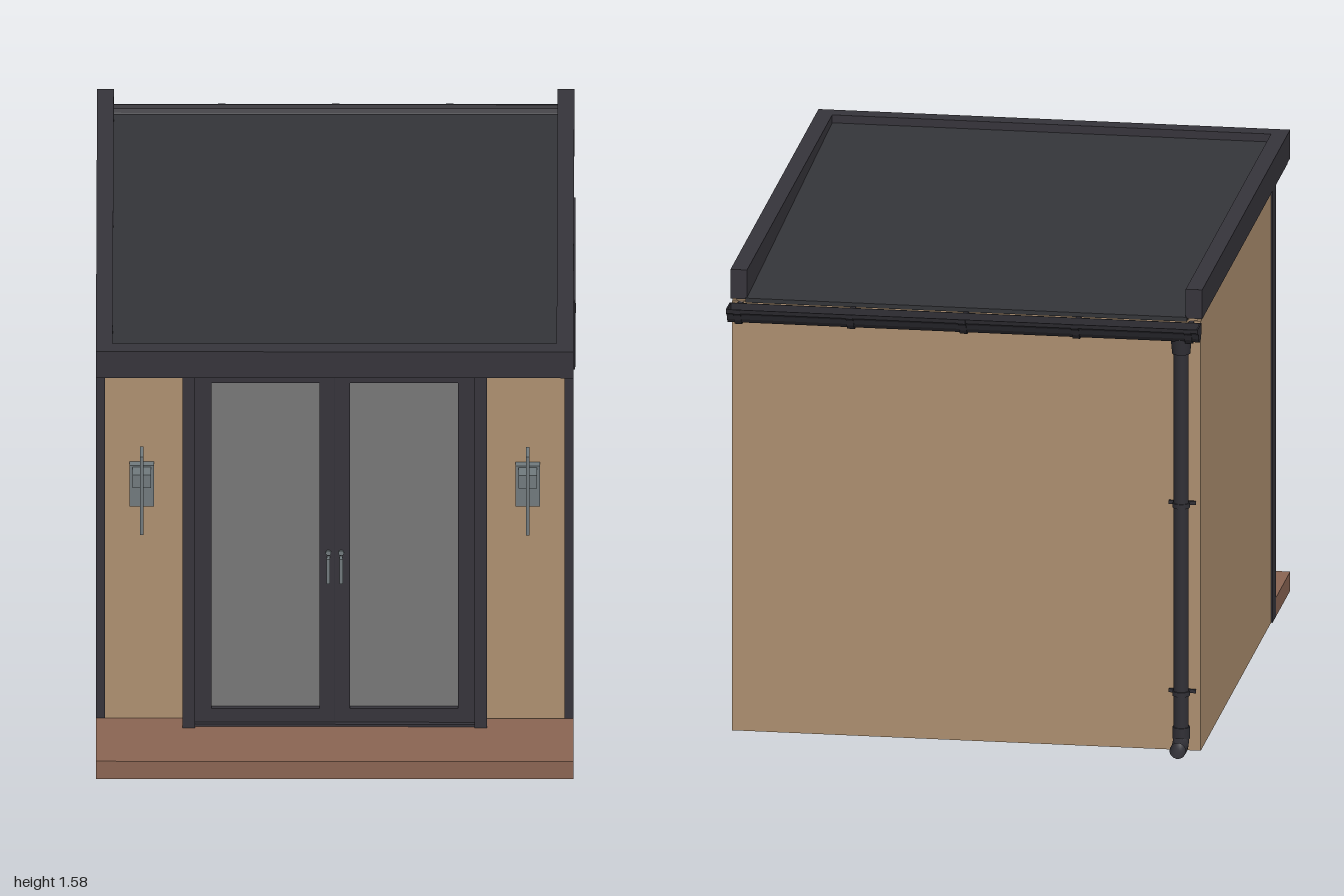
import * as THREE from 'three';

const mat = (name, color, side = THREE.FrontSide) => {
  const m = new THREE.MeshStandardMaterial({ color, side });
  m.name = name;
  return m;
};

export function createModel() {
  const cladding = mat('tan cladding', 0xae9070);
  const trim = mat('dark trim', 0x36343b);
  const roofing = mat('roof membrane', 0x343539);
  const gutterMat = mat('gutter plastic', 0x302f35, THREE.DoubleSide);
  const glass = mat('grey glass', 0x777777);
  const slabMat = mat('grey concrete', 0x7a7a7a);
  const wood = mat('brown decking', 0x8a6553);
  const metal = mat('brushed metal', 0x717a7d);

  const model = new THREE.Group();
  model.name = 'gardenRoom';
  const group = (name) => {
    const g = new THREE.Group();
    g.name = name;
    model.add(g);
    return g;
  };
  const add = (name, geo, material, parent = model) => {
    const m = new THREE.Mesh(geo, material);
    m.name = name;
    parent.add(m);
    return m;
  };
  // Box given by its minimum and maximum on each axis
  const box = (name, material, [x0, x1], [y0, y1], [z0, z1], parent) => {
    const g = new THREE.BoxGeometry(x1 - x0, y1 - y0, z1 - z0);
    g.translate((x0 + x1) / 2, (y0 + y1) / 2, (z0 + z1) / 2);
    return add(name, g, material, parent);
  };
  // Profile in (z, y) swept along x
  const prism = (name, material, pts, x0, x1, parent) => {
    const s = new THREE.Shape(pts.map(([z, y]) => new THREE.Vector2(-z, y)));
    const g = new THREE.ExtrudeGeometry(s, { depth: x1 - x0, bevelEnabled: false });
    g.rotateY(Math.PI / 2).translate(x0, 0, 0);
    return add(name, g, material, parent);
  };
  const cyl = (name, material, r0, r1, y0, y1, x, z, parent) => {
    const g = new THREE.CylinderGeometry(r1, r0, y1 - y0, 20);
    g.translate(x, (y0 + y1) / 2, z);
    return add(name, g, material, parent);
  };
  const rect = (P, x0, x1, y0, y1) => new P([[x0, y0], [x1, y0], [x1, y1], [x0, y1]]
    .map(([x, y]) => new THREE.Vector2(x, y)));
  // Flat frame with rectangular openings, facing +z
  const frameGeo = (outer, holes, z0, z1) => {
    const s = rect(THREE.Shape, ...outer);
    s.holes = holes.map((h) => rect(THREE.Path, ...h));
    return new THREE.ExtrudeGeometry(s, { depth: z1 - z0, bevelEnabled: false }).translate(0, 0, z0);
  };

  // Base, deck and thin wall shell
  box('floorSlab', slabMat, [-0.72, 0.72], [0, 0.06], [-0.82, 0.62]);
  box('deck', wood, [-0.785, 0.785], [0, 0.065], [0.69, 1]);
  const walls = group('walls');
  box('frontWall', cladding, [-0.77, 0.77], [0, 1.488], [0.67, 0.683], walls);
  box('backWall', cladding, [-0.78, 0.78], [0, 1.472], [-0.89, -0.877], walls);
  for (const s of [-1, 1]) {
    const xs = (a, b) => (s > 0 ? [a, b] : [-b, -a]);
    box('sideWall', cladding, xs(0.767, 0.78), [0, 1.48], [-0.877, 0.62], walls);
    box('cornerTrim', trim, xs(0.755, 0.785), [0, 1.48], [0.62, 0.69], walls);
  }

  // Sloping roof sunk between raised fascias, open at the back
  const roof = group('roof');
  prism('roofDeck', roofing, [[-0.895, 1.47], [0.945, 1.49], [0.945, 1.553], [-0.895, 1.485]], -0.735, 0.735, roof);
  box('soffit', slabMat, [-0.73, 0.73], [1.484, 1.49], [0.684, 0.945], roof);
  box('frontFascia', trim, [-0.785, 0.785], [1.483, 1.58], [0.94, 1], roof);
  box('leftFascia', trim, [0.73, 0.785], [1.48, 1.58], [-0.89, 0.94], roof);
  box('rightFascia', trim, [-0.785, -0.73], [1.48, 1.58], [-0.89, 0.94], roof);

  // Double doors
  const doors = group('doors');
  for (const s of [-1, 1]) {
    const xs = (a, b) => (s > 0 ? [a, b] : [-b, -a]);
    box('doorPost', trim, xs(0.46, 0.5), [0.065, 1.387], [0.683, 0.76], doors);
    box('doorGlass', glass, xs(0.03, 0.43), [0.1, 1.35], [0.71, 0.718], doors);
    // Handle: rosette, stems and a vertical grip
    const hx = s * 0.021;
    const rosette = add('handleRosette', new THREE.CylinderGeometry(0.009, 0.009, 0.008, 16), metal, doors);
    rosette.rotation.x = Math.PI / 2;
    rosette.position.set(hx, 0.702, 0.738);
    box('handleGrip', metal, [hx - 0.006, hx + 0.006], [0.6, 0.69], [0.754, 0.764], doors);
    for (const y of [0.605, 0.678]) {
      box('handleStem', metal, [hx - 0.005, hx + 0.005], [y, y + 0.01], [0.734, 0.756], doors);
    }
  }
  box('doorHeader', trim, [-0.46, 0.46], [1.379, 1.387], [0.683, 0.75], doors);
  box('doorSill', trim, [-0.46, 0.46], [0.065, 0.074], [0.683, 0.75], doors);
  add('doorFrame', frameGeo([-0.46, 0.46, 0.074, 1.379],
    [[-0.405, -0.05, 0.125, 1.328], [0.05, 0.405, 0.125, 1.328]], 0.684, 0.735), trim, doors);
  box('doorGap', gutterMat, [-0.0015, 0.0015], [0.08, 1.375], [0.735, 0.7365], doors);

  // Long window in the left wall, built facing +z and turned to +x
  const win = group('sideWindow');
  win.rotation.y = Math.PI / 2;
  add('windowFrame', frameGeo([-0.27, 0.48, 1.14, 1.39], [[-0.247, 0.457, 1.163, 1.367]], 0.77, 0.79), trim, win);
  add('windowSash', frameGeo([-0.247, 0.457, 1.163, 1.367], [[-0.23, 0.43, 1.19, 1.342]], 0.77, 0.785), trim, win);
  box('windowGlass', glass, [-0.24, 0.44], [1.18, 1.35], [0.776, 0.782], win);
  box('windowHandlePlate', metal, [0.058, 0.148], [1.166, 1.185], [0.784, 0.788], win);
  box('windowHandle', trim, [0.075, 0.13], [1.172, 1.18], [0.787, 0.792], win);

  // Wall lamps either side of the doors
  for (const s of [-1, 1]) {
    const lamp = group('wallLamp');
    lamp.position.x = s * 0.635;
    box('lampPlate', metal, [-0.04, 0.04], [0.86, 1.01], [0.683, 0.712], lamp);
    box('lampBlock', metal, [-0.03, 0.03], [0.957, 1.005], [0.71, 0.77], lamp);
    const ring = add('lampRing', frameGeo([-0.784, -0.71, 0.79, 1.08],
      [[-0.772, -0.722, 0.802, 1.068]], -0.006, 0.006), metal, lamp);
    ring.rotation.y = Math.PI / 2;
  }

  // Gutter: thin moulded trough with end caps, brackets and joints
  const gutter = group('gutter');
  const lip = [[-0.91, 1.472], [-0.91, 1.436], [-0.918, 1.422], [-0.935, 1.414], [-0.952, 1.418],
    [-0.964, 1.432], [-0.972, 1.448], [-0.988, 1.458], [-0.992, 1.472]];
  const inner = lip.map(([z, y]) => [-0.948 + (z + 0.948) * 0.9, y + (1.472 - y) * 0.1]).reverse();
  prism('gutterTrough', gutterMat, [...lip, ...inner], -0.785, 0.785, gutter);
  for (const x of [-0.785, 0.78]) prism('gutterEnd', gutterMat, lip, x, x + 0.005, gutter);
  const grown = lip.map(([z, y]) => [-0.948 + (z + 0.948) * 1.08, 1.472 + (y - 1.472) * 1.1]);
  for (const x of [-0.75, -0.375, 0, 0.375, 0.75]) {
    box('gutterBracket', gutterMat, [x - 0.008, x + 0.008], [1.44, 1.472], [-0.912, -0.888], gutter);
    prism('gutterJoint', gutterMat, [...grown, ...inner], x - 0.012, x + 0.012, gutter);
  }

  // Downpipe with outlet, clips and a bottom shoe
  const pipe = group('downpipe');
  const px = -0.72, pz = -0.922, r = 0.025;
  cyl('outlet', gutterMat, 0.03, 0.036, 1.37, 1.43, px, pz, pipe);
  cyl('pipe', gutterMat, r, r, 0.07, 1.4, px, pz, pipe);
  for (const y of [0.205, 0.85]) {
    cyl('pipeClip', gutterMat, 0.029, 0.029, y - 0.008, y + 0.008, px, pz, pipe);
    box('clipLug', gutterMat, [px - 0.045, px + 0.045], [y - 0.006, y + 0.006], [-0.9, -0.888], pipe);
  }
  cyl('shoeCollar', gutterMat, 0.029, 0.029, 0.05, 0.09, px, pz, pipe);
  const bend = new THREE.CatmullRomCurve3([[0.075, pz], [0.05, pz - 0.002], [0.034, pz - 0.015],
    [0.028, pz - 0.035], [0.028, -1]].map(([y, z]) => new THREE.Vector3(px, y, z)));
  add('pipeShoe', new THREE.TubeGeometry(bend, 20, 0.027, 18), gutterMat, pipe);

  return model;
}
